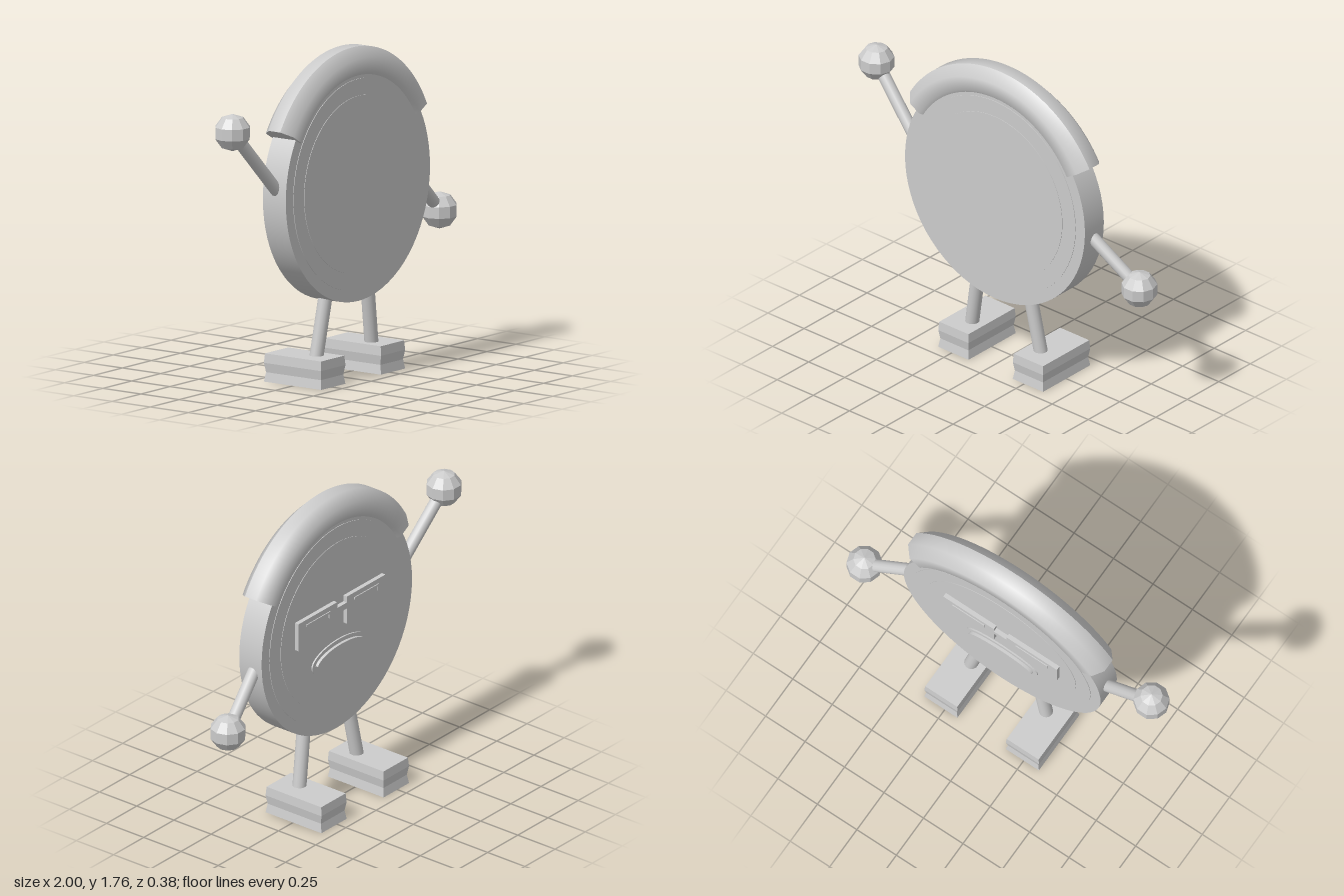
import * as THREE from 'three';

const V = (x, y, z) => new THREE.Vector3(x, y, z);

export function createModel() {
  const model = new THREE.Group();
  model.name = 'coinFigure';
  const grey = new THREE.MeshStandardMaterial({ color: 0xcccccc });
  grey.name = 'plain grey';
  const CX = 0.017, CY = 1.035, CZ = 0.075;

  const add = (geometry, name, x = 0, y = 0, z = 0) => {
    const mesh = new THREE.Mesh(geometry, grey);
    mesh.name = name;
    mesh.position.set(x, y, z);
    model.add(mesh);
    return mesh;
  };
  const faceted = (geometry) => {
    const g = geometry.toNonIndexed();
    g.computeVertexNormals();
    return g;
  };
  // Round rod between two points
  const rod = (name, a, b, r) => {
    const dir = b.clone().sub(a);
    const mesh = add(new THREE.CylinderGeometry(r, r, dir.length(), 16), name);
    mesh.position.copy(a).add(b).multiplyScalar(0.5);
    mesh.quaternion.setFromUnitVectors(V(0, 1, 0), dir.normalize());
  };
  // Plate on the back face, reaching out to -depth
  const plate = (shape, depth, name) => add(
    new THREE.ExtrudeGeometry(shape, { depth: depth + 0.005, bevelEnabled: false, curveSegments: 32 }),
    name, 0, 0, -depth);
  const rect = (x0, y0, x1, y1) => new THREE.Shape([
    new THREE.Vector2(x0, y0), new THREE.Vector2(x1, y0),
    new THREE.Vector2(x1, y1), new THREE.Vector2(x0, y1)]);

  // Coin body with two slightly raised discs on both sides
  for (const [r, thick, name] of [[0.623, 0.15, 'body'], [0.56, 0.156, 'raisedDisc'], [0.47, 0.161, 'innerDisc']]) {
    add(new THREE.CylinderGeometry(r, r, thick, 72).rotateX(Math.PI / 2), name, CX, CY, CZ);
  }

  // Padded band over the top, with an eight-sided section
  const R = 0.631, tube = 0.0985, half = THREE.MathUtils.degToRad(59.5);
  const section = [];
  for (let i = 0; i <= 8; i++) {
    const a = (i + 0.5) * Math.PI / 4;
    section.push(new THREE.Vector2(R + tube * Math.cos(a), tube * Math.sin(a)));
  }
  add(new THREE.LatheGeometry(section, 40, Math.PI - half, 2 * half).rotateX(Math.PI / 2),
    'topBand', CX, CY, CZ);
  for (const s of [1, -1]) {
    const e = V(s * Math.sin(half), Math.cos(half), 0);
    const up = V(0, 0, s);
    const basis = new THREE.Matrix4().makeBasis(e, up, e.clone().cross(up));
    const cap = new THREE.CircleGeometry(tube, 8, Math.PI / 8).applyMatrix4(basis);
    add(cap, 'topBandEnd', CX + e.x * R, CY + e.y * R, CZ);
  }

  // Arms and faceted hands
  const arms = [
    ['right', V(-0.56, 1.06, 0.075), V(-0.908, 1.44, 0.03)],
    ['left', V(0.58, 1.0, 0.075), V(0.9, 0.742, 0.015)],
  ];
  for (const [side, shoulder, hand] of arms) {
    rod(side + 'Arm', shoulder, hand, 0.034);
    add(faceted(new THREE.SphereGeometry(0.099, 10, 5)), side + 'Hand', hand.x, hand.y, hand.z);
  }

  // Legs and ridged shoes
  for (const s of [1, -1]) {
    const side = s > 0 ? 'left' : 'right';
    rod(side + 'Leg', V(CX + s * 0.165, 0.55, 0.08), V(CX + s * 0.24, 0.13, 0.058), 0.037);
    const shoe = new THREE.BoxGeometry(0.21, 0.15, 0.375, 1, 3, 1);
    const p = shoe.attributes.position;
    for (let i = 0; i < p.count; i++) {
      const level = Math.round((p.getY(i) + 0.075) / 0.05);
      const k = level % 2 ? 0.008 : 0;
      const inset = level === 3 ? 0.004 : k;
      p.setX(i, p.getX(i) - Math.sign(p.getX(i)) * inset);
      p.setZ(i, p.getZ(i) - Math.sign(p.getZ(i)) * inset);
    }
    add(faceted(shoe), side + 'Shoe', CX + s * 0.258, 0.075, -0.003);
  }

  // Glasses on the back face
  for (const s of [1, -1]) {
    const x = 0.01 + s * 0.2;
    plate(rect(x - 0.16, 1.015, x + 0.16, 1.175), 0.03, 'lens');
    plate(rect(x - 0.1, 1.135, x + 0.1, 1.147), 0.035, 'lensGlint');
    plate(rect(x - 0.1, 1.11, x - 0.088, 1.135), 0.035, 'lensGlintTick');
  }
  plate(rect(-0.04, 1.105, 0.06, 1.14), 0.03, 'glassesBridge');

  // Mouth and upper teeth
  const mouth = new THREE.Shape();
  mouth.absellipse(0.01, 0.85, 0.225, 0.088, 0, Math.PI * 2);
  plate(mouth, 0.014, 'mouth');
  const teeth = new THREE.Shape();
  teeth.absellipse(0.01, 0.85, 0.2, 0.065, 0.1, Math.PI - 0.1);
  plate(teeth, 0.03, 'teeth');

  return model;
}
